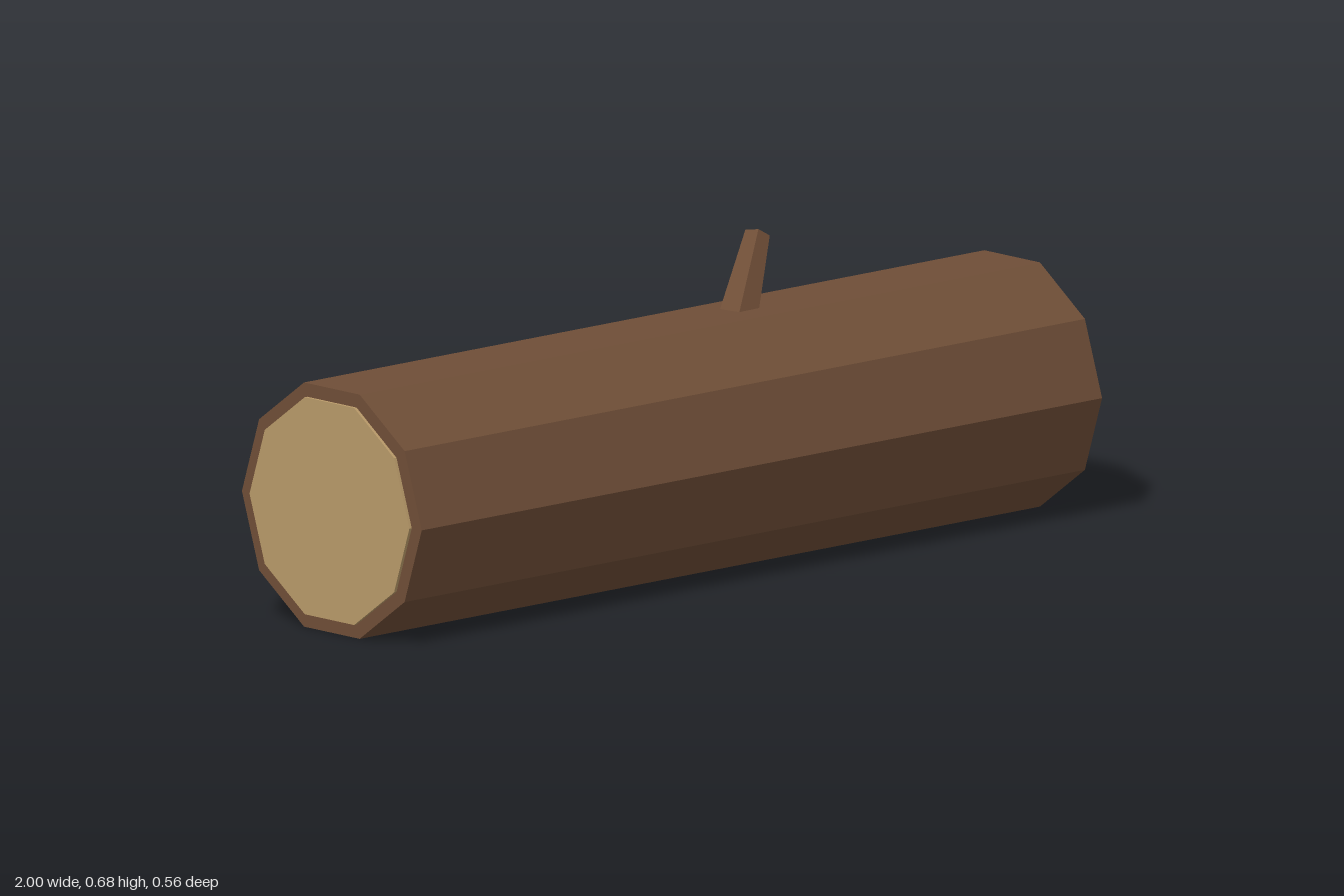
import * as THREE from 'three';

export function createModel() {
  const group = new THREE.Group();
  const bark = new THREE.MeshStandardMaterial({ color: 0x6f4e37, flatShading: true });
  bark.name = 'bark';
  const cutWood = new THREE.MeshStandardMaterial({ color: 0xb99a69, flatShading: true });
  cutWood.name = 'cutWood';

  const SIDES = 10, CENTRE_Y = 0.265;

  // Ten-sided prism lying along x, with flats at top and bottom
  function lyingPrism(name, radius, length, x, material) {
    const geometry = new THREE.CylinderGeometry(radius, radius, length, SIDES);
    geometry.rotateZ(-Math.PI / 2);
    const mesh = new THREE.Mesh(geometry, material);
    mesh.name = name;
    mesh.position.set(x, CENTRE_Y, 0);
    group.add(mesh);
  }

  // Trunk
  lyingPrism('trunk', 0.279, 1.986, 0, bark);

  // Pale cut faces, standing slightly proud of both ends
  for (const [name, side] of [['leftCutFace', 1], ['rightCutFace', -1]]) {
    lyingPrism(name, 0.248, 0.009, side * 0.9955, cutWood);
  }

  // Five-sided tapered branch stub, rooted inside the trunk
  const tip = new THREE.Vector3(0.307, 0.6685, -0.062);
  const length = 0.24;
  const stub = new THREE.CylinderGeometry(0.028, 0.047, length, 5, 1, false, Math.PI / 5);
  stub.translate(0, -length / 2, 0);
  const branch = new THREE.Mesh(stub, bark);
  branch.name = 'branchStub';
  branch.position.copy(tip);
  branch.rotation.set(-0.32, 0, -0.565);
  group.add(branch);

  return group;
}
